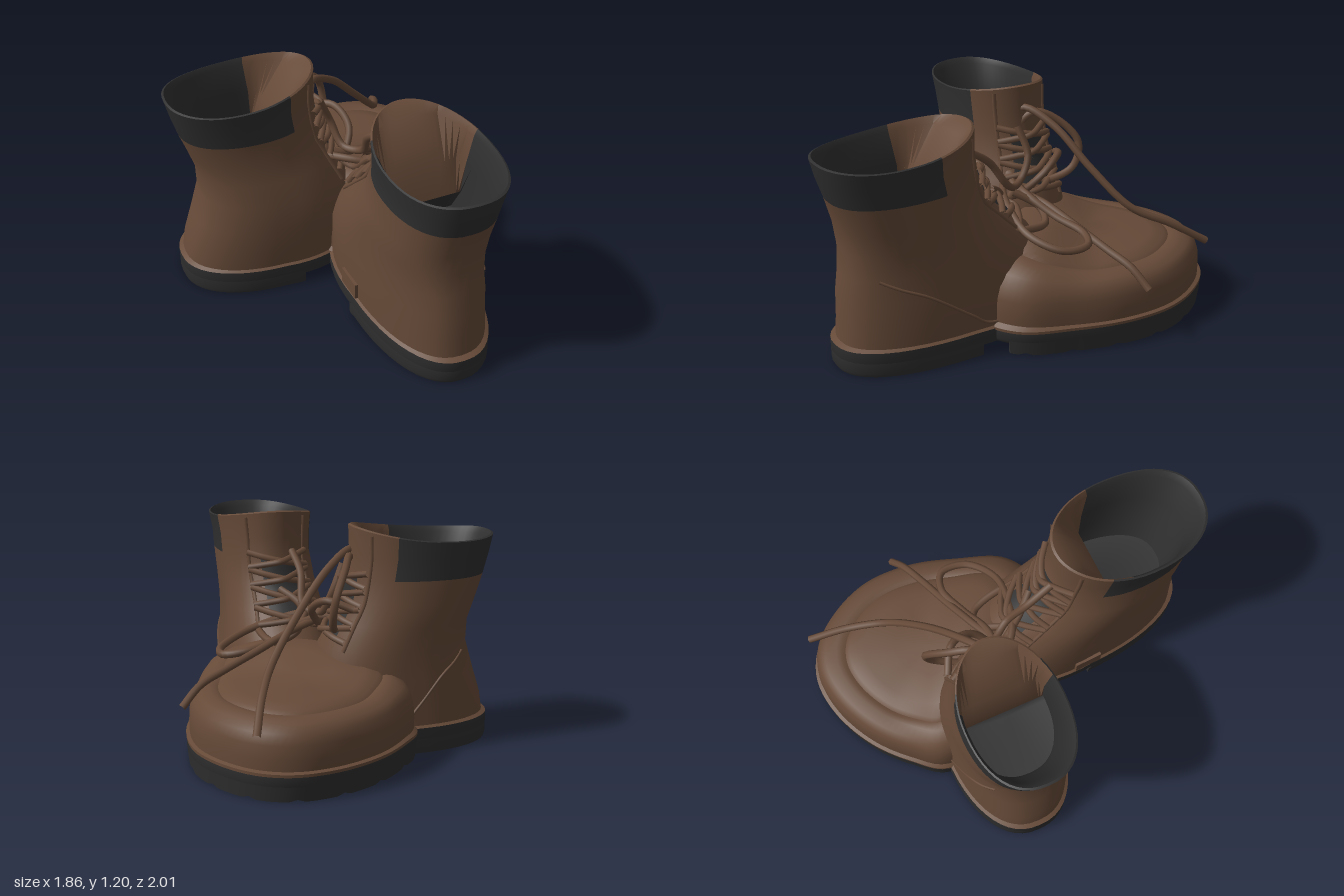
import * as THREE from 'three';
import { toCreasedNormals } from 'three/addons/utils/BufferGeometryUtils.js';

const V = (x, y, z) => new THREE.Vector3(x, y, z);
const SEG = 48;

// Skin a stack of closed rings; pick(row, column) chooses the material slot
function loft(rings, pick = () => 0, crease = 0.7) {
  const pos = [], slots = [[], []], n = rings[0].length;
  rings.forEach(r => r.forEach(p => pos.push(p.x, p.y, p.z)));
  for (let j = 0; j < rings.length - 1; j++) {
    for (let i = 0; i < n; i++) {
      const a = j * n + i, b = j * n + (i + 1) % n;
      slots[pick(j, i)].push(a, b, b + n, a, b + n, a + n);
    }
  }
  const g = new THREE.BufferGeometry();
  g.setAttribute('position', new THREE.Float32BufferAttribute(pos, 3));
  g.setIndex([...slots[0], ...slots[1]]);
  g.addGroup(0, slots[0].length, 0);
  g.addGroup(slots[0].length, slots[1].length, 1);
  return toCreasedNormals(g, crease);
}

// Ankle levels: y, centre x, centre z, half length, half width
const ankles = [
  { name: 'right', dir: [0.78, -0.62], outer: 1, heelCut: 0.2, outerTrim: 0.5, levels: [
    [0.13, -0.475, 0.22, 0.485, 0.31], [0.25, -0.465, 0.22, 0.475, 0.31], [0.4, -0.445, 0.21, 0.45, 0.31],
    [0.55, -0.44, 0.21, 0.41, 0.3], [0.68, -0.475, 0.22, 0.375, 0.285], [0.8, -0.52, 0.24, 0.365, 0.27],
    [0.93, -0.545, 0.265, 0.375, 0.265], [1.04, -0.56, 0.28, 0.385, 0.265], [1.15, -0.565, 0.29, 0.4, 0.27]] },
  { name: 'left', dir: [-0.64, -0.77], outer: -1, heelCut: 0.05, outerTrim: 0.2, levels: [
    [0.13, 0.38, 0.41, 0.63, 0.305], [0.25, 0.378, 0.41, 0.62, 0.305], [0.4, 0.375, 0.41, 0.615, 0.3],
    [0.52, 0.395, 0.44, 0.56, 0.285], [0.65, 0.435, 0.495, 0.48, 0.28], [0.78, 0.49, 0.555, 0.415, 0.275],
    [0.93, 0.53, 0.585, 0.41, 0.27], [1.04, 0.545, 0.605, 0.42, 0.275], [1.15, 0.555, 0.615, 0.43, 0.29]] },
];

// Point on an ankle at angle u (0 = throat) and height y; blunt heel, foot widening forward
function surf(k, u, y, s = 1, maxCos = 1) {
  const L = k.levels;
  let i = 0;
  while (i < L.length - 2 && y > L[i + 1][0]) i++;
  const t = THREE.MathUtils.clamp((y - L[i][0]) / (L[i + 1][0] - L[i][0]), 0, 1);
  const [cx, cz, a, b] = [1, 2, 3, 4].map(c => L[i][c] + (L[i + 1][c] - L[i][c]) * t);
  const cos = Math.cos(u), sin = Math.sin(u), heel = cos < 0;
  const flare = 1 + (heel ? 0.06 : 0.2) * cos * (1 - THREE.MathUtils.smoothstep(y, 0.4, 0.8));
  const c = (heel ? -((-cos) ** 0.88) : Math.min(cos, maxCos)) * a * s;
  const w = (heel ? Math.sign(sin) * Math.abs(sin) ** 0.85 : sin) * b * s * flare;
  const [dx, dz] = k.dir;
  return V(cx + dx * c + dz * w, y, cz + dz * c - dx * w);
}
const angles = Array.from({ length: SEG }, (_, i) => (i / SEG) * Math.PI * 2);
const ankleRing = (k, y, s, cut = 1, yOut = y) =>
  angles.map(u => surf(k, u, y, s, cut).setY(yOut));

// Shared toe outline, counter-clockwise from above
const outline = new THREE.CatmullRomCurve3([
  [-0.38, -0.91], [-0.54, -0.75], [-0.66, -0.5], [-0.7, -0.25], [-0.69, -0.05], [-0.45, 0.18], [-0.12, 0.29], [0.1, 0.3],
  [0.5, 0.2], [0.6, -0.01], [0.53, -0.3], [0.42, -0.57], [0.24, -0.8], [0.02, -0.925], [-0.2, -0.965],
].map(([x, z]) => V(x, 0, z)), true).getSpacedPoints(96).slice(0, 96);
const toePoint = (p, s, y) => V(-0.1 + (p.x + 0.1) * s, y, -0.3 + (p.z + 0.3) * s);

export function createModel() {
  const brown = new THREE.MeshStandardMaterial({ color: 0x664a38 });
  brown.name = 'brown leather';
  const dark = new THREE.MeshStandardMaterial({ color: 0x2f2f30, side: THREE.DoubleSide });
  dark.name = 'dark rubber and padding';
  const model = new THREE.Group();
  model.name = 'twoHeeledBoot';
  const add = (name, geometry, material, parent = model) => {
    const m = new THREE.Mesh(geometry, material);
    m.name = name;
    parent.add(m);
    return m;
  };
  const tube = (name, pts, r, parent) =>
    add(name, new THREE.TubeGeometry(new THREE.CatmullRomCurve3(pts), pts.length * 7, r, 7), brown, parent);

  // Welt, toe cap and vamp, with a seam groove and a rise toward the throats
  const toeLevels = [[1, 0.13], [1, 0.145], [0.968, 0.152], [0.97, 0.21], [0.962, 0.28], [0.935, 0.335], [0.88, 0.37],
    [0.78, 0.387], [0.73, 0.385], [0.705, 0.38], [0.67, 0.398], [0.55, 0.415], [0.3, 0.425], [0, 0.43]];
  add('toeAndVamp', loft(toeLevels.map(([s, y]) => outline.map(p => {
    const q = toePoint(p, s, y);
    q.y += 0.18 * THREE.MathUtils.smoothstep(q.z, -0.42, 0.1) * (1 - s ** 2.5);
    return q;
  }))), brown);

  // Forefoot sole: upper slab, and a tread with radiating grooves
  add('foreSole', loft([[0, 0.06], [0.98, 0.06], [0.995, 0.08], [0.995, 0.132], [0.94, 0.135]]
    .map(([s, y]) => outline.map(p => toePoint(p, s, y)))), dark);
  const tread = [[0, 0.03], [0.6, 0.012], [0.98, 0], [0.995, 0.08]];
  add('foreTread', loft(tread.map(([s, y], row) => outline.map((p, i) => {
    const q = toePoint(p, s, y + (row < 3 && row > 0 && i % 6 === 0 ? 0.012 : 0));
    q.z = Math.min(q.z, 0.05);
    return q;
  })), undefined, 0.4), dark);

  for (const k of ankles) {
    const g = new THREE.Group();
    g.name = k.name + 'Ankle';
    model.add(g);

    // Shaft runs up outside, over the rim, then down the lining, where the tongue leans back
    const rows = [...k.levels.map(l => [l[0], 1]), [1.155, 0.97], [1.12, 0.92, 0.8], [0.93, 0.9, 0.42],
      [0.75, 0.87, 0.12], [0.6, 0.83, 0.1], [0.58, 0]];
    const rings = rows.map(([y, s, cut]) => ankleRing(k, y, s, cut).map((p, i) => {
      if (y > 1) p.y += (0.028 * Math.cos(angles[i]) + 0.018 * Math.cos(2 * angles[i])) * (y - 1) / 0.15;
      return p;
    }));
    add('shaft', loft(rings, (j, i) => {
      const u = angles[i] + Math.PI / SEG, c = Math.cos(u);
      if (j >= 12) return 1;
      if (j >= 9) return c < 0.2 ? 1 : 0;
      return j >= 6 && c < (Math.sin(u) * k.outer > 0 ? k.outerTrim : 0.55) ? 1 : 0;
    }), [brown, dark], g);

    // Sole rim with brown welt on top, and raised heel block
    add('soleRim', loft([[0, 0.06], [1.03, 0.06], [1.045, 0.08], [1.045, 0.14], [0.98, 0.155]]
      .map(([s, y]) => ankleRing(k, 0.13, s, 0.8, y)), j => (j === 3 ? 0 : 1)), [brown, dark], g);
    add('heelBlock', loft([[0, 0], [1.03, 0], [1.045, 0.02], [1.045, 0.08]]
      .map(([s, y]) => ankleRing(k, 0.13, s, k.heelCut, y))), dark, g);

    // Quarter panel seam on the outer flank
    tube('quarterSeam', [[2.45, 0.52], [2.2, 0.47], [1.95, 0.41], [1.6, 0.25], [1.45, 0.18], [1.15, 0.18], [1.0, 0.28], [0.8, 0.38]]
      .map(([u, y]) => surf(k, u * k.outer, y, 1.002)), 0.008, g);

    // Eyelet facings beside the throat
    for (const side of [1, -1]) {
      tube('facing', [0.55, 0.68, 0.8, 0.93, 1.05, 1.16].map(y => surf(k, side * 0.62, y)), 0.012, g);
    }

    // Dark tongue strip on the throat
    const strip = new THREE.PlaneGeometry(1, 1, 6, 8), sp = strip.attributes.position;
    for (let i = 0; i < sp.count; i++) {
      const p = surf(k, -sp.getX(i) * 0.75, 0.77 + sp.getY(i) * 0.32, 1.012);
      sp.setXYZ(i, p.x, p.y, p.z);
    }
    strip.computeVertexNormals();
    add('tongue', strip, dark, g);

    // Criss-cross lacing
    for (let r = 0; r < 4; r++) {
      const y = 0.6 + r * 0.095;
      for (const side of [1, -1]) {
        tube('crossLace', [-0.62, -0.3, 0, 0.3, 0.62].map((u, i) =>
          surf(k, u * side, y + i * 0.02, 1.05 + (i === 2 ? 0.04 + side * 0.02 : 0))), 0.018, g);
      }
    }
  }

  // Pull tab near the crotch
  const tab = add('pullTab', new THREE.BoxGeometry(0.16, 0.09, 0.03), brown);
  tab.position.copy(surf(ankles[1], 1.5, 0.2));
  tab.rotation.y = -0.85;

  // Loose laces: two trailing ends, bow loops and the tangle around the knot
  const laces = {
    longLaceEnd: [[-0.2, 0.7, 0.14], [-0.27, 0.95, 0.16], [-0.26, 1.07, 0.06], [-0.2, 0.99, -0.12], [-0.12, 0.78, -0.33], [-0.08, 0.57, -0.56], [-0.13, 0.46, -0.78], [-0.2, 0.33, -0.985]],
    shortLaceEnd: [[-0.22, 0.72, 0.13], [-0.08, 0.67, 0.08], [0.03, 0.62, -0.1], [0.13, 0.55, -0.26], [0.25, 0.47, -0.44], [0.33, 0.41, -0.57], [0.385, 0.31, -0.67]],
    bowLoop: [[-0.18, 0.68, 0.12], [-0.02, 0.66, 0.02], [0.09, 0.58, -0.15], [0.2, 0.54, -0.31], [0.31, 0.52, -0.34], [0.39, 0.52, -0.22], [0.34, 0.57, -0.04], [0.2, 0.63, 0.07], [0.02, 0.68, 0.14], [-0.14, 0.68, 0.14]],
    highLoop: [[-0.22, 0.7, 0.13], [-0.25, 0.93, 0.1], [-0.27, 1.04, 0.0], [-0.3, 0.99, -0.13], [-0.3, 0.86, -0.25], [-0.27, 0.72, -0.22], [-0.22, 0.65, -0.06], [-0.18, 0.67, 0.1]],
    bridgeLaceLow: [[-0.38, 0.66, -0.08], [-0.25, 0.74, 0], [-0.12, 0.66, 0.08], [0, 0.62, 0.12], [0.1, 0.72, 0.16], [0.22, 0.78, 0.18]],
    bridgeLaceHigh: [[-0.2, 0.98, 0.08], [-0.16, 0.82, 0.02], [-0.08, 0.7, 0.06], [0.04, 0.72, 0.1], [0.1, 0.88, 0.2], [0.2, 0.98, 0.3]],
    knotLoop: [[-0.35, 0.78, -0.12], [-0.2, 0.82, -0.14], [-0.08, 0.74, -0.06], [-0.1, 0.62, 0.08], [-0.22, 0.66, 0.14], [-0.25, 0.78, 0]],
    vampStrand: [[0.02, 0.68, 0.08], [0.02, 0.6, -0.06], [0.12, 0.55, -0.1], [0.26, 0.57, 0.0], [0.34, 0.6, 0.14]],
  };
  for (const [name, pts] of Object.entries(laces)) tube(name, pts.map(p => V(...p)), 0.021);
  add('knot', new THREE.SphereGeometry(0.05, 12, 8), brown).position.set(-0.18, 0.69, 0.12);

  return model;
}
